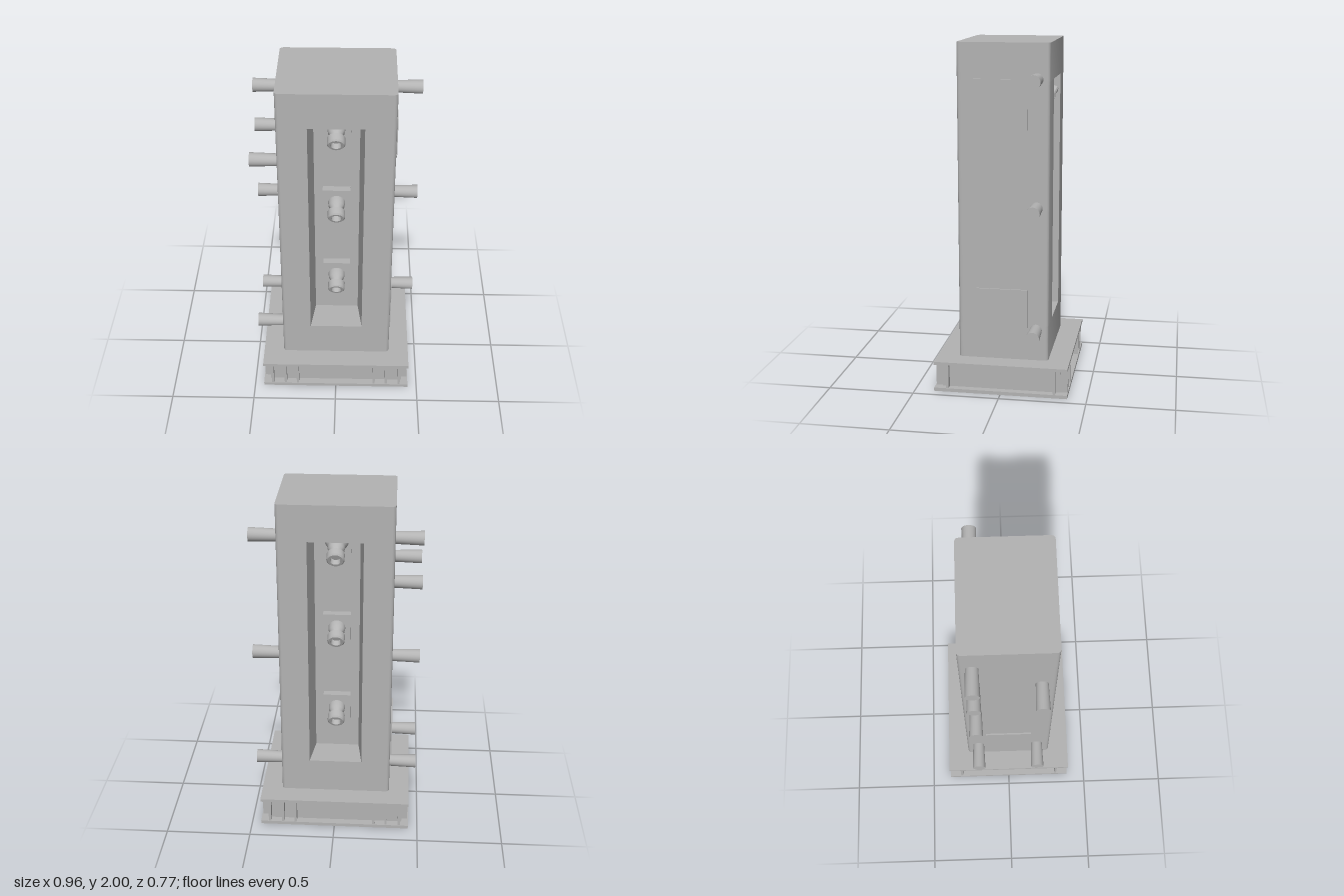
import * as THREE from 'three';
import { toCreasedNormals } from 'three/addons/utils/BufferGeometryUtils.js';

const grey = new THREE.MeshStandardMaterial({ color: 0xb3b3b3 });
grey.name = 'plain grey';

function add(parent, name, geometry, x = 0, y = 0, z = 0) {
  const mesh = new THREE.Mesh(geometry, grey);
  mesh.name = name;
  mesh.position.set(x, y, z);
  parent.add(mesh);
  return mesh;
}

const HX = 0.325, HZ = 0.262, R = 0.025;   // tower half sizes and corner radius
const WALL = 0.07;                         // half thickness of the wall between the recesses

// Tower cross-section; with recess = true it becomes an I shape with slanted cheeks
function footprint(recess) {
  const s = new THREE.Shape();
  s.moveTo(-HX + R, -HZ);
  if (recess) {
    s.lineTo(-0.155, -HZ);
    s.lineTo(-0.13, -WALL);
    s.lineTo(0.13, -WALL);
    s.lineTo(0.155, -HZ);
  }
  s.lineTo(HX - R, -HZ);
  s.quadraticCurveTo(HX, -HZ, HX, -HZ + R);
  s.lineTo(HX, HZ - R);
  s.quadraticCurveTo(HX, HZ, HX - R, HZ);
  if (recess) {
    s.lineTo(0.155, HZ);
    s.lineTo(0.13, WALL);
    s.lineTo(-0.13, WALL);
    s.lineTo(-0.155, HZ);
  }
  s.lineTo(-HX + R, HZ);
  s.quadraticCurveTo(-HX, HZ, -HX, HZ - R);
  s.lineTo(-HX, -HZ + R);
  s.quadraticCurveTo(-HX, -HZ, -HX + R, -HZ);
  return s;
}

function towerSection(recess, y0, y1) {
  const g = new THREE.ExtrudeGeometry(footprint(recess), { depth: y1 - y0, bevelEnabled: false, curveSegments: 6 });
  g.rotateX(-Math.PI / 2);
  g.translate(0, y0, 0);
  return toCreasedNormals(g, 0.6);
}

// Hollow-ended nozzle, turned around its own axis
function nozzleGeometry() {
  const profile = [[0.035, -0.04], [0.05, 0], [0.046, 0.03], [0.036, 0.05], [0.036, 0.06], [0.05, 0.065],
    [0.05, 0.105], [0.043, 0.113], [0.03, 0.113], [0.027, 0.08], [0, 0.08]];
  const g = new THREE.LatheGeometry(profile.map(p => new THREE.Vector2(p[0], p[1])), 24);
  return toCreasedNormals(g, 0.7);
}

// Thin access panel with one clipped lower corner; width runs along z
function panelGeometry(z0, z1, y0, y1) {
  const s = new THREE.Shape();
  s.moveTo(-z1 + 0.05, y0);
  s.lineTo(-z0, y0);
  s.lineTo(-z0, y1);
  s.lineTo(-z1, y1);
  s.lineTo(-z1, y0 + 0.04);
  s.closePath();
  const g = new THREE.ExtrudeGeometry(s, { depth: 0.014, bevelEnabled: false });
  g.rotateY(Math.PI / 2);
  return g;
}

export function createModel() {
  const model = new THREE.Group();
  model.name = 'nozzleTower';

  // Tower
  add(model, 'towerBottom', towerSection(false, 0.17, 0.385));
  add(model, 'towerMiddle', towerSection(true, 0.385, 1.79));
  add(model, 'towerTop', towerSection(false, 1.79, 2));

  // Nozzles in the front and back recesses
  const nozzle = nozzleGeometry();
  for (const turn of [0, Math.PI]) {
    const set = new THREE.Group();
    set.name = turn ? 'backNozzles' : 'frontNozzles';
    set.rotation.y = turn;
    for (const y of [0.68, 1.21]) {
      add(set, 'nozzlePlate', new THREE.BoxGeometry(0.16, 0.16, 0.05), 0, y, 0.09);
      add(set, 'nozzle', nozzle, 0, y - 0.002, 0.108).rotation.x = Math.PI / 2 + 0.4;
    }
    // The top nozzle sits further out on a flared mount
    add(set, 'topNozzlePlate', new THREE.BoxGeometry(0.16, 0.12, 0.05), 0, 1.73, 0.09);
    const mount = toCreasedNormals(new THREE.CylinderGeometry(0.045, 0.08, 0.07, 24), 0.7);
    add(set, 'topNozzleMount', mount, 0, 1.735, 0.125).rotation.x = Math.PI / 2 + 0.4;
    add(set, 'topNozzle', nozzle, 0, 1.725, 0.148).rotation.x = Math.PI / 2 + 0.4;
    model.add(set);
  }

  // Pipe stubs, three on the left side and six on the right: [side, y, z]
  const stubs = [[1, 1.8, -0.19], [1, 1.08, -0.19], [1, 0.36, -0.19],
    [-1, 1.8, -0.19], [-1, 1.54, -0.19], [-1, 1.08, -0.19], [-1, 0.36, -0.19],
    [-1, 1.54, 0.18], [-1, 0.36, 0.18]];
  const stub = toCreasedNormals(new THREE.CylinderGeometry(0.04, 0.034, 0.18, 20), 0.7);
  for (const [side, y, z] of stubs) {
    add(model, 'pipeStub', stub, side * 0.39, y, z).rotation.z = -side * Math.PI / 2;
  }

  // Access panels
  add(model, 'upperPanel', panelGeometry(-0.14, 0.165, 1.52, 1.8), 0.32);
  add(model, 'lowerPanel', panelGeometry(-0.14, 0.155, 0.29, 0.6), 0.32);
  add(model, 'oppositePanel', panelGeometry(-0.14, 0.14, 0.29, 0.6), -0.32).rotation.y = Math.PI;

  // Flanged base with stiffening ribs
  add(model, 'baseBottomPlate', new THREE.BoxGeometry(0.89, 0.02, 0.775), 0, 0.01, 0);
  add(model, 'baseTopPlate', new THREE.BoxGeometry(0.89, 0.018, 0.775), 0, 0.169, 0);
  add(model, 'baseCore', new THREE.BoxGeometry(0.81, 0.15, 0.69), 0, 0.09, 0);
  for (const s of [1, -1]) {
    for (const x of [-0.39, -0.31, -0.235, 0.235, 0.31, 0.39]) {
      add(model, 'endRib', new THREE.BoxGeometry(0.014, 0.15, 0.05), x, 0.09, s * 0.358);
    }
    for (const z of [-0.31, 0.31]) {
      add(model, 'sideRib', new THREE.BoxGeometry(0.05, 0.15, 0.014), s * 0.415, 0.09, z);
    }
  }
  return model;
}
